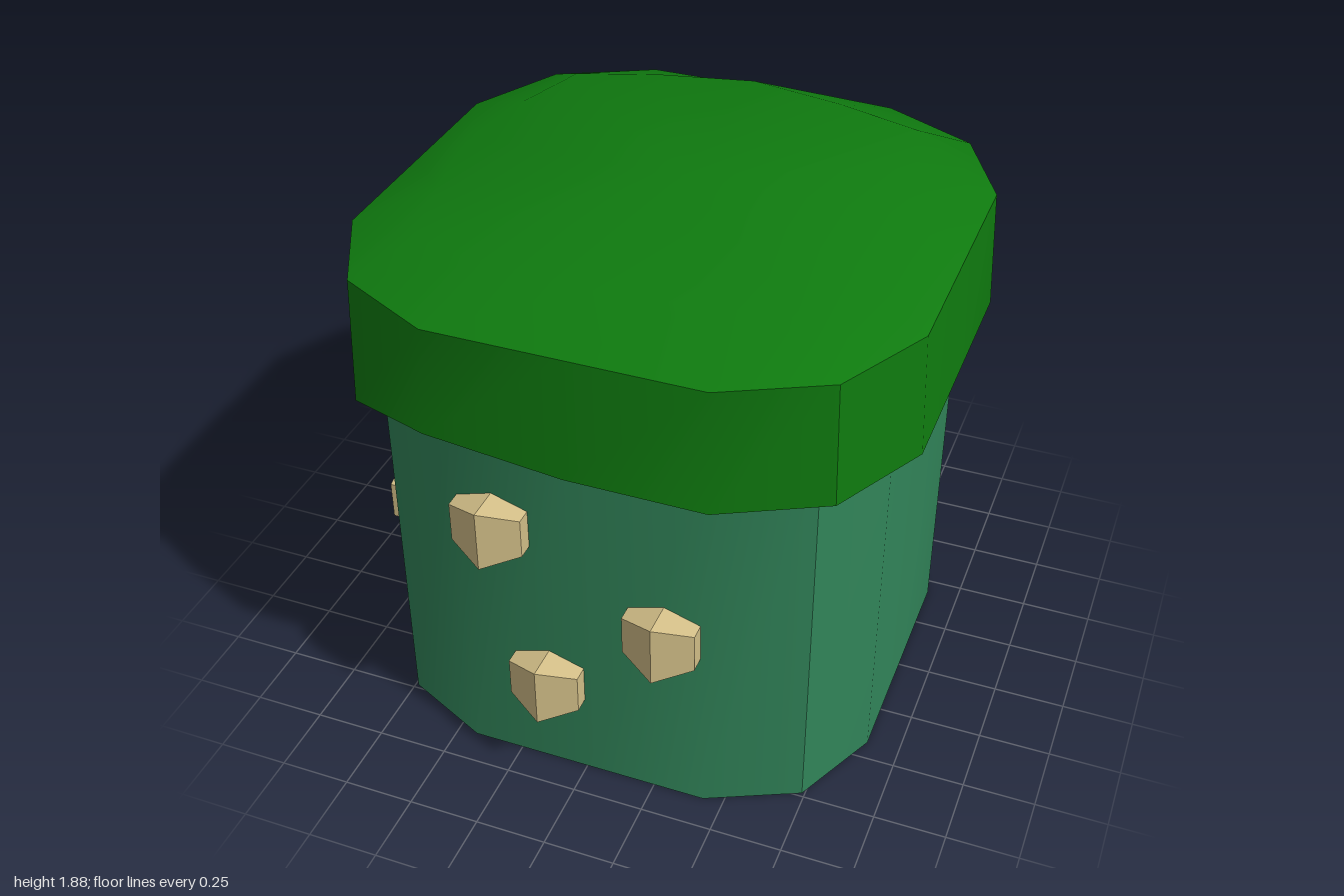
import * as THREE from 'three';
import { toCreasedNormals } from 'three/addons/utils/BufferGeometryUtils.js';

// Rounded-square ring: one quarter of [x, z, y], turned four times, starting at +z.
function ring(quarter, dz = 0, drops = {}) {
  const pts = [];
  for (let q = 0; q < 4; q++) {
    for (const [px, pz, y] of quarter) {
      let x = px, z = pz;
      for (let k = 0; k < q; k++) [x, z] = [z, -x];
      pts.push(new THREE.Vector3(x, drops[pts.length] ?? y, z + dz));
    }
  }
  return pts;
}

const band = (mid, corner, flat, y) => [[0, flat, y], [mid, flat, y], [corner, corner, y], [flat, mid, y]];
const point = (y, z, n) => Array.from({ length: n }, () => new THREE.Vector3(0, y, z));

// Skin a stack of equal-length rings, listed from the bottom up.
function loft(rows, crease) {
  const pos = [];
  const tri = (a, b, c) => {
    if (a.equals(b) || b.equals(c) || a.equals(c)) return;
    pos.push(...a.toArray(), ...b.toArray(), ...c.toArray());
  };
  for (let r = 0; r < rows.length - 1; r++) {
    const lo = rows[r], up = rows[r + 1];
    for (let i = 0; i < lo.length; i++) {
      const j = (i + 1) % lo.length;
      tri(lo[i], lo[j], up[j]);
      tri(lo[i], up[j], up[i]);
    }
  }
  const g = new THREE.BufferGeometry();
  g.setAttribute('position', new THREE.Float32BufferAttribute(pos, 3));
  return toCreasedNormals(g, crease);
}

// Pointed hexagonal stud facing +z; "fold" pushes its side corners back.
function studGeometry(depth, fold) {
  const w = 0.125;
  const outline = [[0, -0.112], [w, -0.072], [w, 0.072], [0, 0.112], [-w, 0.072], [-w, -0.072]];
  const back = outline.map(([x, y]) => new THREE.Vector3(x, y, -0.04));
  const front = outline.map(([x, y]) => new THREE.Vector3(x, y, depth - (x ? fold : 0)));
  const ridge = outline.map(([, y]) => new THREE.Vector3(0, y, depth));
  return loft([back, front, ridge], 0.2);
}

export function createModel() {
  const group = new THREE.Group();
  const paint = (color) => new THREE.MeshStandardMaterial({ color });
  const bodyMat = paint(0x318459), lidMat = paint(0x0f7a0f), studMat = paint(0xd2be87);
  const add = (name, geometry, material) => {
    const mesh = new THREE.Mesh(geometry, material);
    mesh.name = name;
    group.add(mesh);
    return mesh;
  };

  // Body: straight twelve-sided drum
  const bodyZ = -0.005;
  add('body', loft([
    point(0, bodyZ, 16),
    ring(band(0.43, 0.74, 0.885, 0), bodyZ),
    ring(band(0.43, 0.74, 0.885, 1.4), bodyZ),
    point(1.4, bodyZ, 16),
  ], 0.55), bodyMat);

  // Lid: overhanging rim, uneven at one front corner, with a shallow crown
  const lidZ = -0.01;
  const crown = [[0, 0.76, 1.88], [0.34, 0.71, 1.87], [0.64, 0.64, 1.855], [0.71, 0.34, 1.87]];
  add('lid', loft([
    point(1.335, lidZ, 16),
    ring(band(0.43, 0.74, 0.885, 1.335), bodyZ, { 13: 1.24, 14: 1.25 }),
    ring(band(0.47, 0.81, 0.985, 1.335), lidZ, { 13: 1.3, 14: 1.31, 15: 1.385 }),
    ring(band(0.46, 0.795, 0.965, 1.76), lidZ),
    ring(crown, lidZ),
    point(1.88, lidZ, 16),
  ], 0.55), lidMat);

  // Front studs, folded down the middle
  const frontStud = studGeometry(0.12, 0.065);
  for (const [x, y] of [[-0.3, 1.018], [0.29, 0.72], [-0.125, 0.393]]) {
    add('frontStud', frontStud, studMat).position.set(x, y, 0.88);
  }

  // Flat studs on the right side
  const sideStud = studGeometry(0.05, 0);
  for (const [z, y] of [[0.18, 1.018], [-0.28, 0.785], [0.33, 0.605], [-0.01, 0.328]]) {
    const stud = add('rightStud', sideStud, studMat);
    stud.position.set(-0.885, y, z);
    stud.rotation.y = -Math.PI / 2;
  }
  return group;
}
